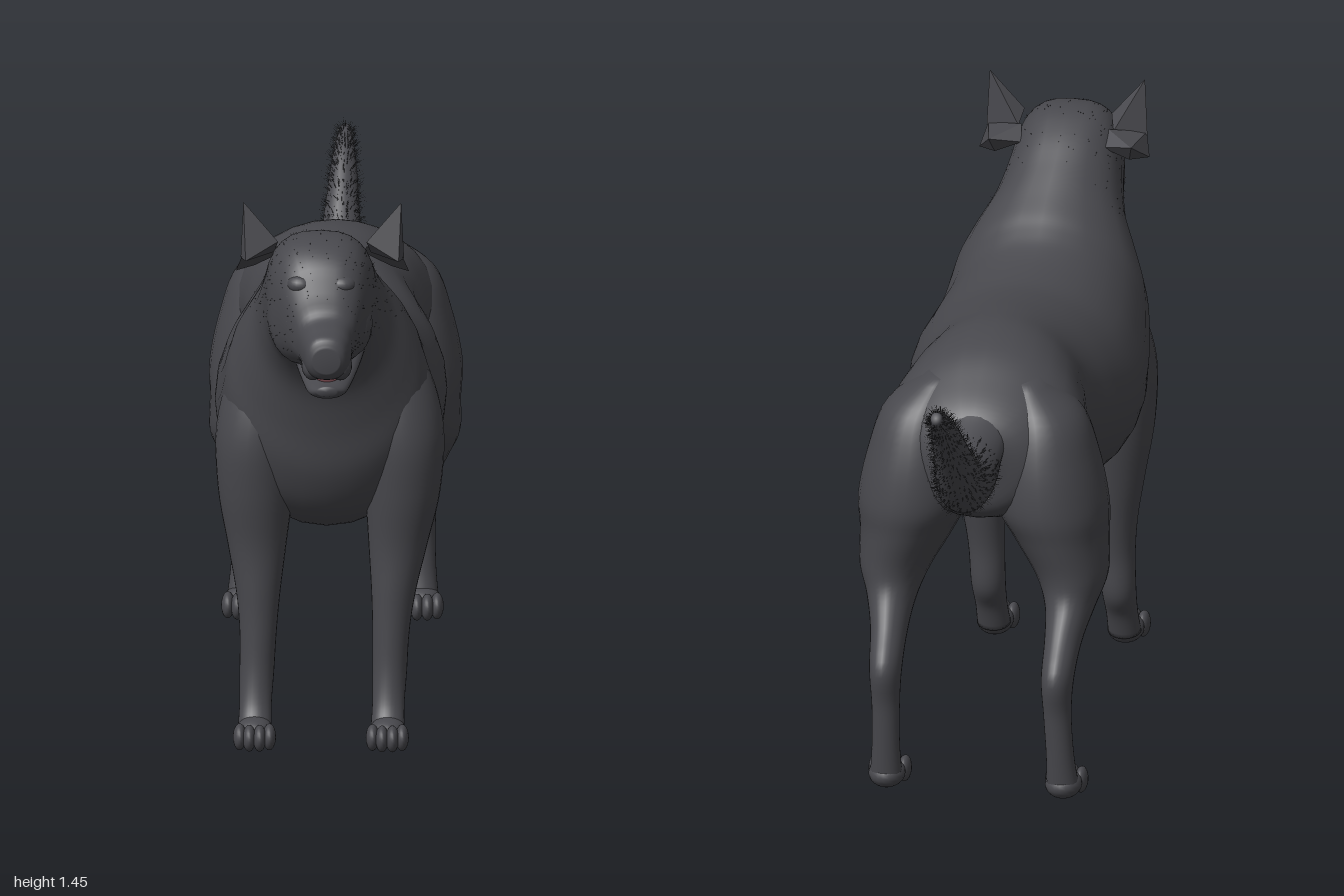
import * as THREE from 'three';
import { ConvexGeometry } from 'three/addons/geometries/ConvexGeometry.js';

const V = (x, y, z) => new THREE.Vector3(x, y, z);
const paint = (name, color, side = THREE.FrontSide) => {
  const m = new THREE.MeshStandardMaterial({ color, side });
  m.name = name;
  return m;
};

// Smooth skin over oval rings. Each ring: [zA, yA, zB, yB, halfWidth, centreX, roundness],
// where A and B are opposite points of the ring in the side plane
// and a roundness below 1 makes the ring boxier.
const RADIAL = 28, STEPS = 5;
const power = (v, k) => Math.sign(v) * Math.abs(v) ** k;
function loft(rings) {
  const curve = f => new THREE.CatmullRomCurve3(rings.map(f), false, 'catmullrom');
  const a = curve(r => V(r[5] || 0, r[1], r[0]));
  const b = curve(r => V(r[5] || 0, r[3], r[2]));
  const w = curve(r => V(r[4], r[6] || 1, 0));
  const n = (rings.length - 1) * STEPS;
  const pos = [], idx = [];
  for (let i = 0; i <= n; i++) {
    const A = a.getPoint(i / n), B = b.getPoint(i / n), { x: half, y: round } = w.getPoint(i / n);
    const c = A.clone().add(B).multiplyScalar(0.5), d = A.clone().sub(B).multiplyScalar(0.5);
    for (let j = 0; j < RADIAL; j++) {
      const t = (j / RADIAL) * Math.PI * 2;
      const u = power(Math.cos(t), round);
      pos.push(c.x + power(Math.sin(t), round) * half, c.y + u * d.y, c.z + u * d.z);
    }
  }
  for (let i = 0; i < n; i++) for (let j = 0; j < RADIAL; j++) {
    const k = (j + 1) % RADIAL, p = i * RADIAL, q = p + RADIAL;
    idx.push(p + j, q + j, p + k, p + k, q + j, q + k);
  }
  // end caps
  for (const [i, r, flip] of [[0, rings[0], false], [n, rings.at(-1), true]]) {
    const centre = pos.length / 3;
    pos.push(r[5] || 0, (r[1] + r[3]) / 2, (r[0] + r[2]) / 2);
    for (let j = 0; j < RADIAL; j++) {
      const p = i * RADIAL + j, q = i * RADIAL + (j + 1) % RADIAL;
      idx.push(centre, flip ? q : p, flip ? p : q);
    }
  }
  // turn the faces outward whichever way the rings run
  const at = i => V(pos[3 * i], pos[3 * i + 1], pos[3 * i + 2]);
  let volume = 0;
  for (let i = 0; i < idx.length; i += 3) volume += at(idx[i]).dot(at(idx[i + 1]).cross(at(idx[i + 2])));
  if (volume < 0) idx.reverse();
  const g = new THREE.BufferGeometry();
  g.setAttribute('position', new THREE.Float32BufferAttribute(pos, 3));
  g.setIndex(idx);
  g.computeVertexNormals();
  return g;
}

let seed = 7;
const rand = () => (seed = (seed * 16807) % 2147483647) / 2147483647;

// Thin hairs standing on a lofted skin wherever keep(point) allows
function hairs(skin, count, length, sweep, keep) {
  const P = skin.attributes.position, N = skin.attributes.normal, pos = [];
  const last = P.count - 2 - RADIAL;
  for (let made = 0, tries = 0; made < count && tries < count * 30; tries++) {
    const i = Math.floor(rand() * last);
    const p = V().fromBufferAttribute(P, i).lerp(V().fromBufferAttribute(P, i + RADIAL), rand());
    p.lerp(V().fromBufferAttribute(P, i + 1), rand() * 0.5);
    if (!keep(p)) continue;
    const n = V().fromBufferAttribute(N, i);
    const side = V(rand() - 0.5, rand() - 0.5, rand() - 0.5).cross(n).setLength(0.0008);
    const tip = p.clone().addScaledVector(n, length * (0.3 + 0.7 * rand())).addScaledVector(sweep, length * rand());
    pos.push(...p.clone().add(side).toArray(), ...p.clone().sub(side).toArray(), ...tip.toArray());
    made++;
  }
  const g = new THREE.BufferGeometry();
  g.setAttribute('position', new THREE.Float32BufferAttribute(pos, 3));
  g.computeVertexNormals();
  return g;
}

export function createModel() {
  const dog = new THREE.Group();
  dog.name = 'dog';
  const coat = paint('charcoal coat', 0x48484d);
  const hair = paint('dark hair', 0x353538, THREE.DoubleSide);
  const pink = paint('pink mouth', 0xb8717a);
  const add = (name, geometry, material = coat, parent = dog) => {
    const m = new THREE.Mesh(geometry, material);
    m.name = name;
    parent.add(m);
    return m;
  };
  const blob = (name, x, y, z, rx, ry, rz, material = coat, parent = dog) => {
    const m = add(name, new THREE.SphereGeometry(1, 20, 14), material, parent);
    m.position.set(x, y, z);
    m.scale.set(rx, ry, rz);
    return m;
  };

  // Rump, barrel, chest, neck, skull and muzzle in one skin
  const body = loft([
    [-.53, .93, -.52, .80, .06], [-.49, .985, -.5, .72, .15], [-.42, 1.035, -.42, .68, .225],
    [-.32, 1.09, -.32, .66, .25], [-.2, 1.115, -.2, .66, .23], [-.08, 1.11, -.08, .615, .22],
    [.05, 1.095, .06, .565, .262], [.15, 1.09, .18, .53, .285], [.24, 1.105, .32, .51, .285, -.005],
    [.31, 1.13, .44, .525, .272, -.01], [.36, 1.16, .54, .59, .26, -.01], [.4, 1.19, .6, .7, .245, -.01],
    [.45, 1.225, .625, .82, .213, -.012], [.52, 1.275, .655, .93, .17, -.017, .95],
    [.6, 1.33, .7, 1.0, .147, -.02, .85], [.68, 1.365, .745, 1.035, .137, -.02, .75],
    [.76, 1.362, .79, 1.045, .127, -.02, .72], [.83, 1.325, .825, 1.055, .107, -.015, .75],
    [.873, 1.26, .86, 1.065, .086, -.01, .8], [.9, 1.208, .885, 1.062, .07, -.005, .82],
    [.95, 1.188, .93, 1.055, .061, 0, .82], [.987, 1.176, .978, 1.068, .05, 0, .85],
    [1.0, 1.152, .998, 1.088, .034],
  ]);
  add('body', body);
  add('headHair', hairs(body, 400, .007, V(0, 0, -.5), p => p.z > .5 && p.z < .88 && p.y > 1.1), hair);

  // Lower jaw and mouth
  add('lowerJaw', loft([
    [.68, 1.13, .7, 1.025, .095], [.76, 1.09, .77, 1.008, .08], [.83, 1.048, .83, .995, .062],
    [.89, 1.033, .89, .992, .047], [.922, 1.03, .92, 1.006, .024],
  ]));
  blob('tongue', 0, 1.046, .855, .035, .018, .044, pink);

  // Face
  blob('nose', 0, 1.15, .975, .03, .026, .023);
  for (const s of [1, -1]) {
    const cx = -.015;
    blob('cheek', cx + s * .068, 1.15, .765, .058, .085, .072);
    blob('upperLip', s * .034, 1.088, .92, .029, .036, .055);
    blob('brow', cx + s * .052, 1.272, .832, .034, .024, .032);
    // Upright ear point and folded flap
    const hull = pts => new ConvexGeometry(pts.map(([x, y, z]) => V(cx + s * x, y, z)));
    add('earPoint', hull([[.196, 1.445, .705], [.203, 1.3, .7], [.11, 1.345, .715], [.12, 1.31, .685], [.19, 1.3, .735]]));
    add('earFlap', hull([[.11, 1.32, .67], [.2, 1.305, .71], [.18, 1.3, .6], [.1, 1.29, .62], [.215, 1.255, .665], [.17, 1.258, .63]]));
  }

  // Paw: low pad with four rounded toes
  const paw = (name, x, z) => {
    const g = new THREE.Group();
    g.name = name;
    g.position.set(x, 0, z);
    dog.add(g);
    blob('pad', 0, .036, -.03, .046, .036, .055, coat, g);
    [-.037, -.013, .013, .037].forEach((dx, i) => {
      const mid = i === 1 || i === 2 ? .012 : 0;
      blob('toe', dx, .033, .014 + mid, .0165, .033, .036, coat, g);
    });
  };

  // Legs, mirrored, with a slight sideways lean toward the feet
  const foreRings = [
    [.49, 1.03, .4, 1.04, .025, .13], [.555, .92, .35, .96, .08, .16], [.583, .78, .355, .82, .1, .182],
    [.572, .64, .38, .63, .094, .183], [.55, .5, .41, .48, .073, .175], [.547, .38, .437, .36, .055, .168],
    [.547, .28, .457, .26, .046, .165], [.552, .18, .466, .155, .043, .165], [.57, .1, .505, .09, .04, .165],
    [.6, .05, .53, .025, .042, .165],
  ];
  const hindRings = [
    [-.31, 1.045, -.4, 1.03, .03, .11], [-.24, .96, -.475, .95, .095, .15], [-.2, .85, -.515, .84, .126, .162],
    [-.19, .72, -.528, .72, .14, .174], [-.195, .61, -.515, .64, .117, .195], [-.25, .52, -.5, .55, .09, .222],
    [-.345, .44, -.51, .49, .062, .225], [-.44, .375, -.56, .42, .046, .22], [-.515, .30, -.628, .335, .04, .217],
    [-.54, .22, -.612, .23, .035, .217], [-.535, .12, -.6, .12, .035, .22], [-.52, .05, -.59, .025, .04, .223],
  ];
  const lean = (rings, s, dx) => rings.map(([a, b, c, d, w, x]) =>
    [a, b, c, d, w, s * x + dx * Math.max(0, 1 - b / .7)]);
  for (const s of [1, -1]) {
    const side = s > 0 ? 'Left' : 'Right';
    add('foreLeg' + side, loft(lean(foreRings, s, -.022)));
    paw('forePaw' + side, s * .165 - .02, .615);
    add('hindLeg' + side, loft(lean(hindRings, s, -.013)));
    paw('hindPaw' + side, s * .223 - .012, -.512);
  }

  // Sheath under the belly
  const sheath = blob('bellySheath', 0, .615, -.12, .032, .036, .075);
  sheath.rotation.x = .5;

  // Tail dips, then sweeps up, with a fringe of hair
  const tail = loft([
    [-.42, 1.03, -.45, .82, .09], [-.5, .975, -.525, .835, .08], [-.575, .94, -.565, .775, .073],
    [-.625, .925, -.645, .772, .066, .003], [-.68, .955, -.715, .835, .055, .005],
    [-.76, 1.03, -.79, .93, .043, .007], [-.86, 1.11, -.885, 1.045, .03, .01],
    [-.945, 1.148, -.96, 1.12, .014, .012],
  ]);
  add('tail', tail);
  add('tailHair', hairs(tail, 2000, .022, V(0, .5, -.6), p => p.z < -.56), hair);

  return dog;
}
